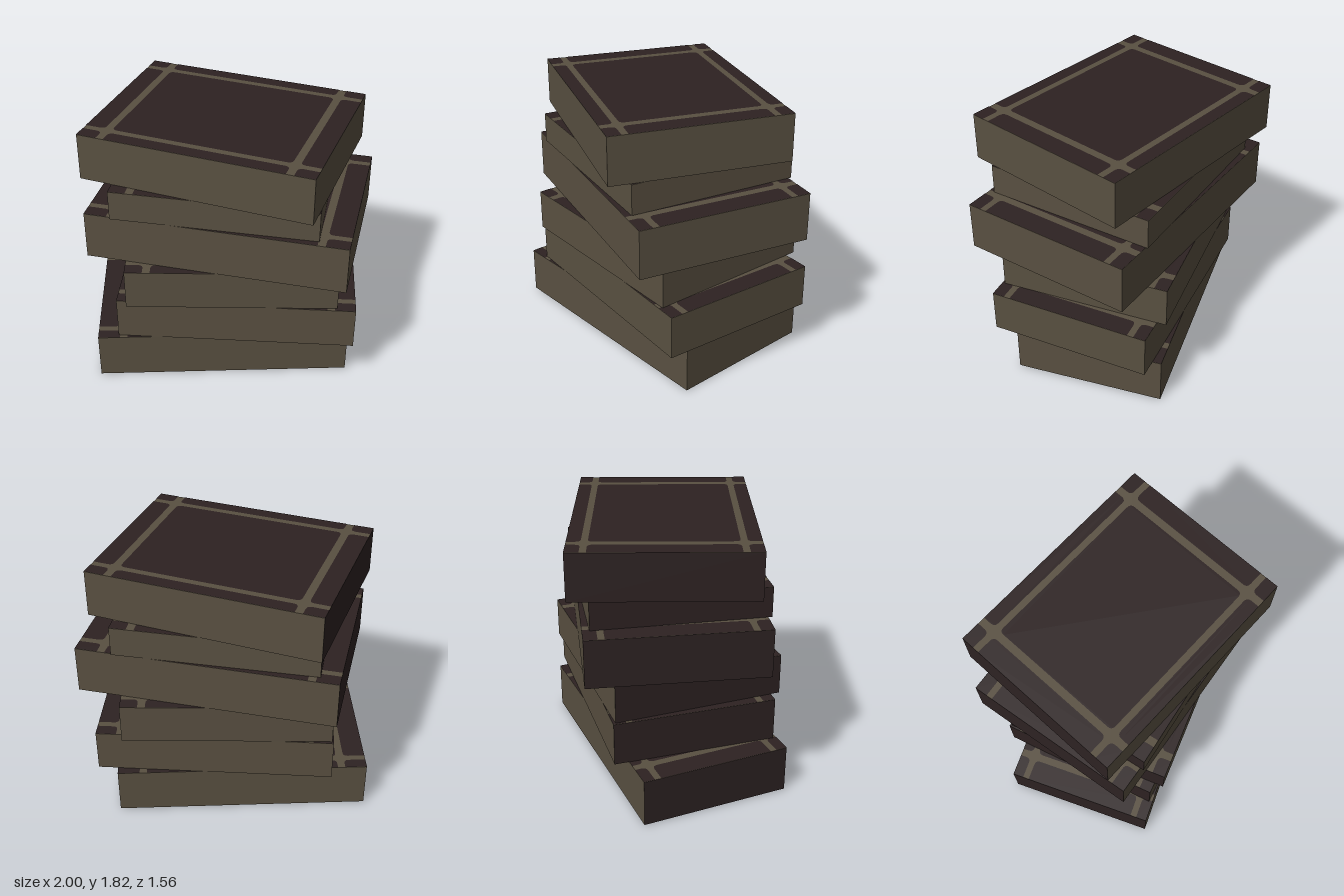
import * as THREE from 'three';

const paper = new THREE.MeshStandardMaterial({ name: 'tan pages', color: 0x595041 });
const leather = new THREE.MeshStandardMaterial({ name: 'dark leather', color: 0x2d2222 });

const LIFT = 0.002; // height of the leather panels above the tan cover

// Rectangle whose corners are rounded unless they touch the cover's edge
function panelShape(x0, x1, y0, y1, w, d) {
  const corners = [[x0, y0], [x1, y0], [x1, y1], [x0, y1]];
  const shape = new THREE.Shape();
  corners.forEach(([x, y], i) => {
    const inner = Math.abs(x) < w / 2 - 1e-6 && Math.abs(y) < d / 2 - 1e-6;
    const r = inner ? 0.035 : 0;
    const toward = ([px, py]) => [x + Math.sign(px - x) * r, y + Math.sign(py - y) * r];
    const a = toward(corners[(i + 3) % 4]);
    const b = toward(corners[(i + 1) % 4]);
    if (i === 0) shape.moveTo(...a);
    else shape.lineTo(...a);
    if (r) shape.quadraticCurveTo(x, y, ...b);
  });
  shape.closePath();
  return shape;
}

// Nine leather panels, leaving two tan bands each way
function coverGeometry(w, d) {
  const spans = (size, inset, band) => {
    const c = size / 2 - inset;
    return [[-size / 2, -c - band / 2], [-c + band / 2, c - band / 2], [c + band / 2, size / 2]];
  };
  const shapes = [];
  for (const [x0, x1] of spans(w, w * 0.102, 0.052))
    for (const [y0, y1] of spans(d, d * 0.094, 0.044))
      shapes.push(panelShape(x0, x1, y0, y1, w, d));
  return new THREE.ShapeGeometry(shapes, 5);
}

function makeBook({ w, d, y0, y1, x, z, turn }) {
  const book = new THREE.Group();
  const h = y1 - y0;

  // Block of pages with a dark spine on the -x side
  const block = new THREE.Mesh(
    new THREE.BoxGeometry(w, h - 2 * LIFT, d),
    [paper, leather, paper, paper, paper, paper]
  );
  block.name = 'pagesAndSpine';
  book.add(block);

  // Covers above and below
  const cover = coverGeometry(w, d);
  for (const side of [1, -1]) {
    const mesh = new THREE.Mesh(cover, leather);
    mesh.name = side > 0 ? 'topCoverPanels' : 'bottomCoverPanels';
    mesh.rotation.x = -side * Math.PI / 2;
    mesh.position.y = side * h / 2;
    book.add(mesh);
  }
  book.position.set(x, (y0 + y1) / 2, z);
  book.rotation.y = THREE.MathUtils.degToRad(turn);
  return book;
}

export function createModel() {
  const stack = new THREE.Group();
  stack.name = 'bookStack';
  // Bottom to top
  const books = [
    { w: 1.763, d: 1.049, y0: 0, y1: 0.338, x: -0.045, z: 0, turn: 9.3 },
    { w: 1.642, d: 1.132, y0: 0.338, y1: 0.645, x: 0.097, z: 0.002, turn: 3.1 },
    { w: 1.439, d: 1.18, y0: 0.645, y1: 0.934, x: 0.04, z: 0.003, turn: 6.4 },
    { w: 1.771, d: 1.213, y0: 0.934, y1: 1.275, x: 0.053, z: 0.002, turn: -6.4 },
    { w: 1.383, d: 1.19, y0: 1.275, y1: 1.487, x: 0.018, z: 0.002, turn: -3.6 },
    { w: 1.593, d: 1.222, y0: 1.487, y1: 1.815, x: -0.005, z: 0, turn: -13.4 },
  ];
  books.forEach((spec, i) => {
    const book = makeBook(spec);
    book.name = `book${i + 1}`;
    stack.add(book);
  });
  return stack;
}
